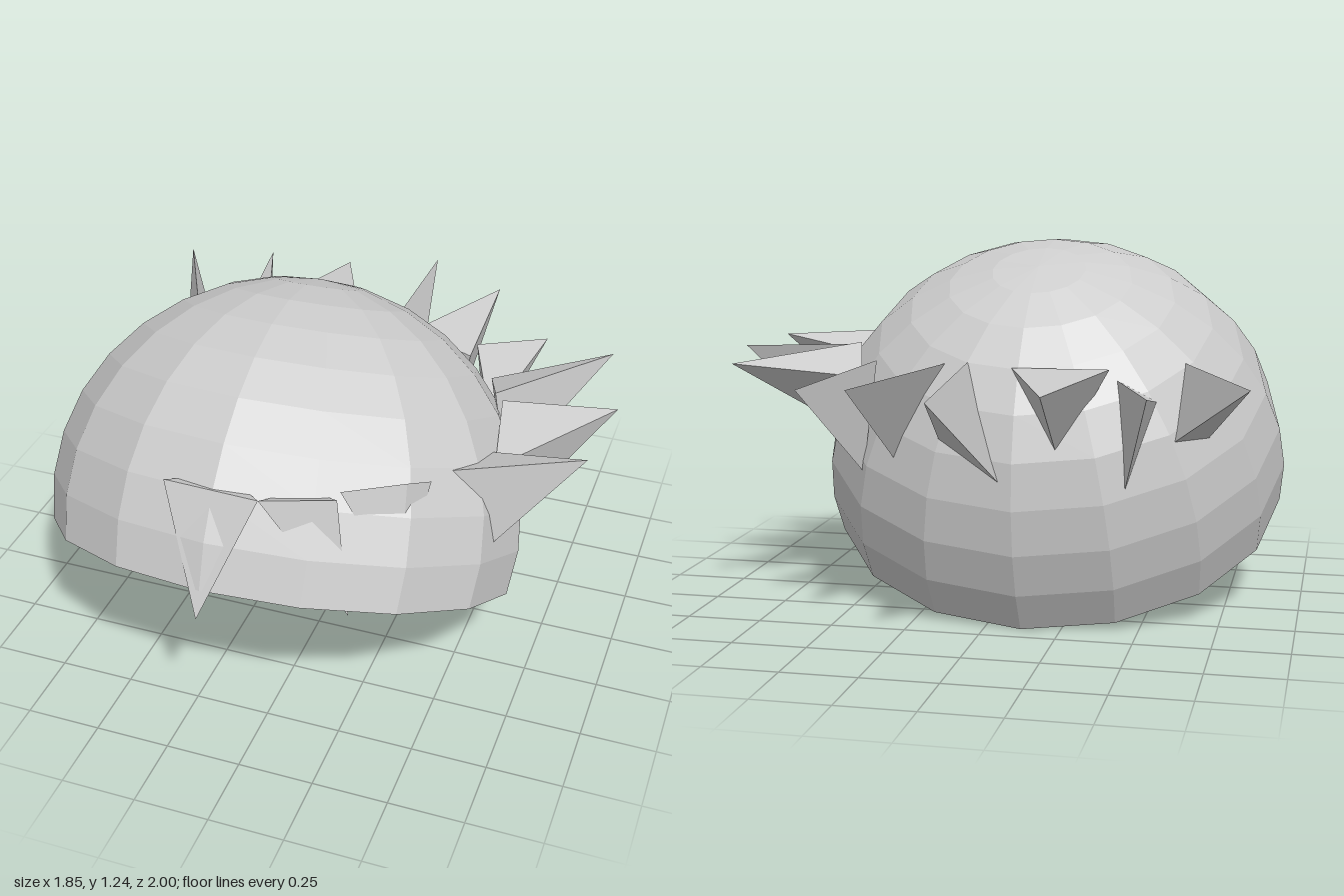
import * as THREE from 'three';
import { ConvexGeometry } from 'three/addons/geometries/ConvexGeometry.js';

export function createModel() {
  const model = new THREE.Group();
  const grey = new THREE.MeshStandardMaterial({ color: 0xcccccc, side: THREE.DoubleSide, flatShading: true });
  grey.name = 'light grey';

  // Open dome, cut just below its equator and tipped backwards
  const cut = THREE.MathUtils.degToRad(101.25);
  const dome = new THREE.Mesh(new THREE.SphereGeometry(1, 16, 9, 0, Math.PI * 2, 0, cut), grey);
  dome.name = 'dome';
  dome.scale.set(0.81, 0.777, 0.777);
  dome.rotation.x = -0.4425;
  dome.position.set(-0.12, 0.465, 0.211);
  model.add(dome);

  // Three-sided spikes: tip followed by three base corners
  function addSpike(name, ...points) {
    const mesh = new THREE.Mesh(new ConvexGeometry(points.map((p) => new THREE.Vector3(...p))), grey);
    mesh.name = name;
    model.add(mesh);
  }

  // Spikes around the back, from the right round to the left
  addSpike('backSpike1', [-0.87, 0.86, -0.73], [-0.70, 0.62, -0.24], [-0.57, 0.60, -0.32], [-0.62, 0.87, -0.22]);
  addSpike('backSpike2', [-0.58, 0.84, -0.84], [-0.55, 0.76, -0.36], [-0.43, 0.83, -0.40], [-0.46, 0.47, -0.45]);
  addSpike('backSpike3', [-0.27, 0.84, -0.86], [-0.41, 0.87, -0.44], [-0.10, 0.87, -0.46], [-0.25, 0.58, -0.46]);
  addSpike('backSpike4', [0.04, 0.835, -1.0], [0.05, 0.88, -0.43], [-0.09, 0.48, -0.50], [0.13, 0.64, -0.50]);
  addSpike('backSpike5', [0.33, 0.84, -0.84], [0.13, 0.87, -0.39], [0.34, 0.80, -0.40], [0.30, 0.56, -0.43]);
  addSpike('sideSpike1', [0.57, 0.80, -0.61], [0.46, 0.67, -0.24], [0.43, 0.49, -0.34], [0.37, 0.87, -0.37]);
  addSpike('sideSpike2', [0.83, 0.86, -0.48], [0.52, 0.89, -0.05], [0.57, 0.58, -0.05], [0.45, 0.80, -0.28]);
  addSpike('sideSpike3', [0.92, 0.875, -0.11], [0.60, 0.80, 0.24], [0.63, 0.51, 0.09], [0.55, 0.88, -0.03]);
  addSpike('sideSpike4', [0.89, 0.88, 0.22], [0.51, 0.885, 0.42], [0.61, 0.57, 0.39], [0.46, 0.80, 0.18]);

  // Spikes lying flat against the front, their bases just breaking the surface
  addSpike('frontSpike1', [-0.12, 0.57, 1.0], [-0.28, 0.94, 0.83], [0.03, 0.94, 0.84], [-0.12, 0.90, 0.70]);
  addSpike('frontSpike2', [0.31, 0.57, 0.83], [0.03, 0.94, 0.84], [0.25, 0.94, 0.76], [0.12, 0.88, 0.66]);
  addSpike('frontSpike3', [0.43, 0.60, 0.70], [0.25, 0.95, 0.73], [0.42, 0.94, 0.61], [0.47, 0.90, 0.52]);

  return model;
}
